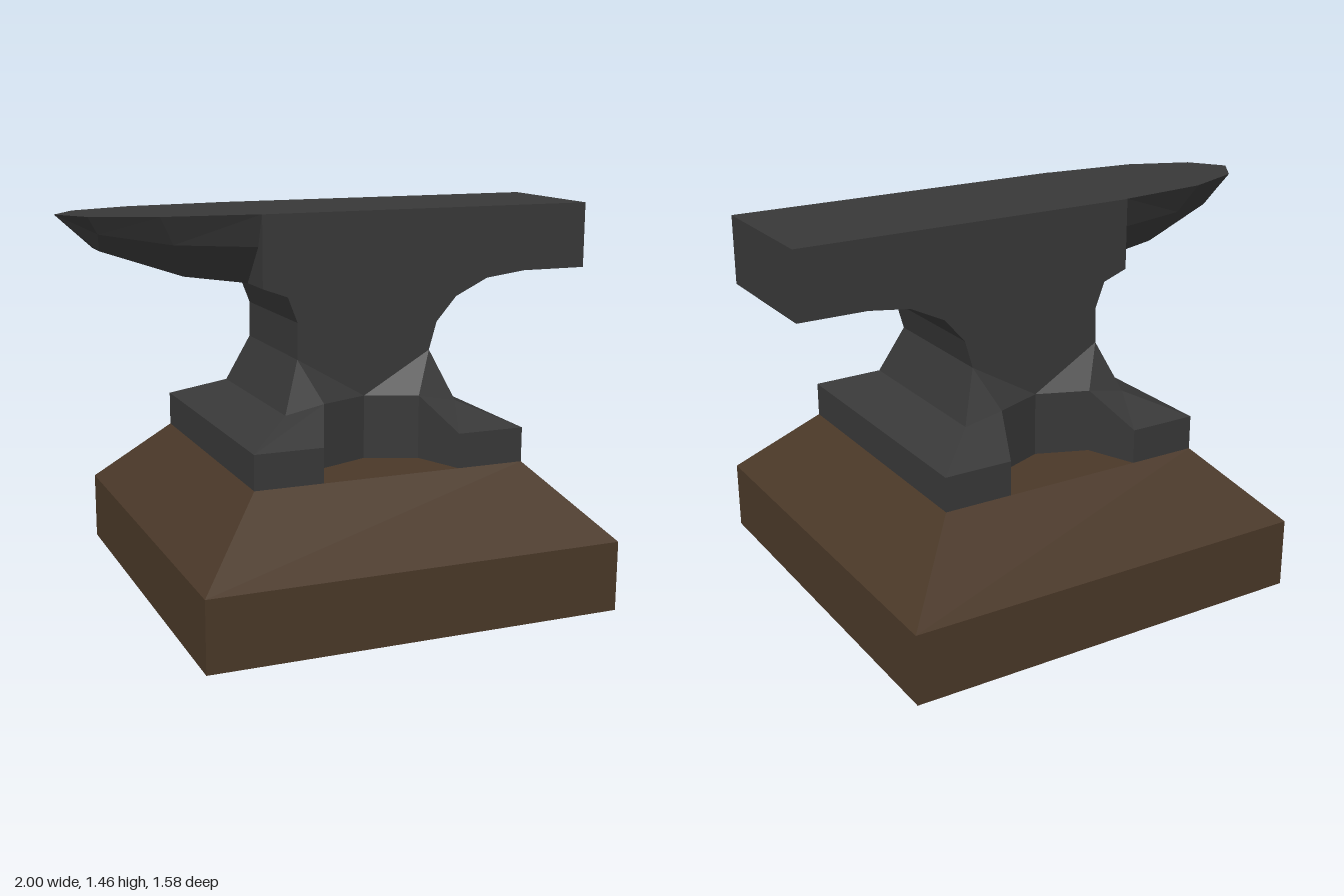
import * as THREE from 'three';

const iron = new THREE.MeshStandardMaterial({ color: 0x383838 });
const wood = new THREE.MeshStandardMaterial({ color: 0x4a3828 });
const CX = 0.075; // centre of the stand along x

// Flat-faced geometry from polygons, mirrored by each [sx, sz] sign pair.
function facets(polygons, signs) {
  const positions = [];
  for (const [sx, sz] of signs) {
    for (const polygon of polygons) {
      const p = polygon.map(([x, y, z]) => new THREE.Vector3(x * sx, y, z * sz));
      if (sx * sz < 0) p.reverse();
      for (let i = 1; i < p.length - 1; i++) {
        const t = new THREE.Triangle(p[0], p[i], p[i + 1]);
        if (t.getArea() > 1e-7) positions.push(...t.a, ...t.b, ...t.c);
      }
    }
  }
  const geometry = new THREE.BufferGeometry();
  geometry.setAttribute('position', new THREE.Float32BufferAttribute(positions, 3));
  geometry.computeVertexNormals();
  return geometry;
}

function addPart(group, name, geometry, material, x = 0, y = 0) {
  const mesh = new THREE.Mesh(geometry, material);
  mesh.name = name;
  mesh.position.set(x, y, 0);
  group.add(mesh);
}

// Foot: one quarter with a notched side, mirrored four ways.
function footGeometry() {
  const low = ([x, , z]) => [x, 0.53, z];
  const mid = ([x, y]) => [x, y, 0];
  const corner = [0.525, 0.66, 0.525];
  const notch = [0.265, 0.66, 0.525];
  const inner = [0.19, 0.77, 0.34];
  const centre = [0, 0.77, 0.265];
  const shoulder = [0.34, 0.74, 0.34];
  const waist = [0.265, 0.925, 0.265];
  return facets([
    [low(notch), low(corner), corner, notch],
    [low(corner), mid(low(corner)), mid(corner), corner],
    [low(inner), low(notch), notch, inner],
    [low(centre), low(inner), inner, centre],
    [notch, corner, shoulder, inner],
    [corner, mid(corner), mid(shoulder), shoulder],
    [shoulder, mid(shoulder), mid(waist), waist],
    [inner, shoulder, waist],
    [centre, inner, waist],
  ], [[1, 1], [-1, 1], [1, -1], [-1, -1]]);
}

// Horn: lengthwise rows from the flat top round to the keel, meeting at the tip.
function hornGeometry() {
  const tip = [-1, 1.455, 0];
  const rim = [[-0.32, 1.455, 0.262], [-0.68, 1.455, 0.225], [-0.91, 1.455, 0.13], tip];
  const side = [[-0.32, 1.335, 0.22], [-0.62, 1.35, 0.18], [-0.87, 1.39, 0.10], tip];
  const keel = [[-0.32, 1.19, 0.10], [-0.56, 1.225, 0.09], [-0.855, 1.325, 0.05], tip];
  const flat = (row) => row.map(([x, y]) => [x, y, 0]);
  const rows = [flat(rim), rim, side, keel, flat(keel)];
  const polygons = [];
  for (let r = 0; r < rows.length - 1; r++) {
    const a = rows[r], b = rows[r + 1];
    for (let i = 0; i < 3; i++) {
      polygons.push([b[i + 1], b[i], a[i]], [b[i + 1], a[i], a[i + 1]]);
    }
  }
  return facets(polygons, [[1, 1], [1, -1]]);
}

// Body and heel: side profile extruded across the width.
function bodyGeometry() {
  const profile = [
    [-0.32, 1.455], [-0.32, 1.19], [-0.225, 1.155], [-0.188, 1.06], [-0.19, 0.925],
    [0.075, 0.77], [0.34, 0.925], [0.37, 1.03], [0.45, 1.122], [0.58, 1.185],
    [0.74, 1.205], [1, 1.205], [1, 1.455],
  ].map(([x, y]) => new THREE.Vector2(x, y));
  const geometry = new THREE.ExtrudeGeometry(new THREE.Shape(profile), { depth: 0.53, bevelEnabled: false });
  return geometry.translate(0, 0, -0.265);
}

export function createModel() {
  const group = new THREE.Group();
  group.name = 'anvil';

  // Wooden block with a sloped top
  addPart(group, 'blockBase', new THREE.BoxGeometry(1.58, 0.265, 1.58), wood, CX, 0.1325);
  const slope = new THREE.CylinderGeometry(0.525 * Math.SQRT2, 0.79 * Math.SQRT2, 0.265, 4)
    .rotateY(Math.PI / 4).toNonIndexed();
  slope.computeVertexNormals();
  addPart(group, 'blockSlope', slope, wood, CX, 0.3975);

  // Iron anvil
  addPart(group, 'foot', footGeometry(), iron, CX);
  addPart(group, 'body', bodyGeometry(), iron);
  addPart(group, 'horn', hornGeometry(), iron);
  return group;
}
